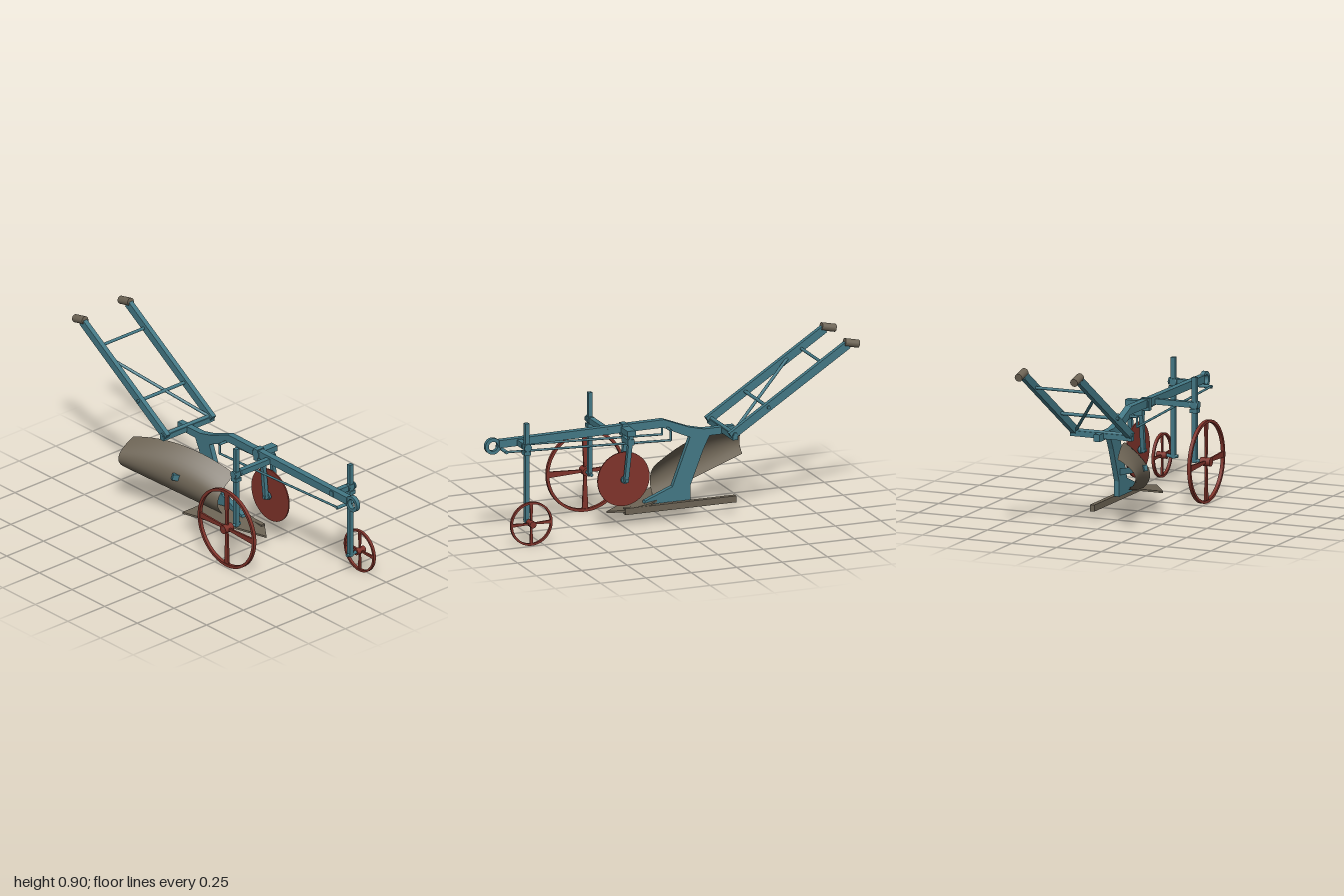
import * as THREE from 'three';

const V = (x, y, z) => new THREE.Vector3(x, y, z);

export function createModel() {
  const model = new THREE.Group();
  model.name = 'plough';
  const mat = (name, color, side = THREE.FrontSide) => {
    const m = new THREE.MeshStandardMaterial({ color, side });
    m.name = name;
    return m;
  };
  const teal = mat('teal paint', 0x437885);
  const red = mat('red paint', 0x80332a);
  const steel = mat('bare steel', 0x6d6455, THREE.DoubleSide);

  const add = (name, geo, material, x = 0, y = 0, z = 0, parent = model) => {
    const mesh = new THREE.Mesh(geo, material);
    mesh.name = name;
    mesh.position.set(x, y, z);
    parent.add(mesh);
    return mesh;
  };
  const box = (name, w, h, d, x, y, z, m = teal) => add(name, new THREE.BoxGeometry(w, h, d), m, x, y, z);
  // Rectangular bar between two points
  const bar = (name, a, b, w, h, m = teal) => {
    const mid = a.clone().add(b).multiplyScalar(0.5);
    const mesh = box(name, w, h, a.distanceTo(b), mid.x, mid.y, mid.z, m);
    mesh.lookAt(b);
    return mesh;
  };
  // Round rod between two points
  const rod = (name, a, b, r, m = teal, parent = model) => {
    const mid = a.clone().add(b).multiplyScalar(0.5);
    const mesh = add(name, new THREE.CylinderGeometry(r, r, a.distanceTo(b), 16), m, mid.x, mid.y, mid.z, parent);
    mesh.quaternion.setFromUnitVectors(V(0, 1, 0), b.clone().sub(a).normalize());
    return mesh;
  };
  // Side profile extruded across z, centred on z
  const plate = (name, pts, depth, z, m = teal) => {
    const shape = new THREE.Shape(pts.map(p => new THREE.Vector2(...p)));
    const geo = new THREE.ExtrudeGeometry(shape, { depth, bevelEnabled: false });
    return add(name, geo.translate(0, 0, -depth / 2), m, 0, 0, z);
  };
  const ring = (r, inner, depth) => {
    const shape = new THREE.Shape().absarc(0, 0, r, 0, Math.PI * 2);
    shape.holes.push(new THREE.Path().absarc(0, 0, inner, 0, Math.PI * 2, true));
    return new THREE.ExtrudeGeometry(shape, { depth, bevelEnabled: false, curveSegments: 40 })
      .translate(0, 0, -depth / 2);
  };

  // Beam and hitch ring
  const beamZ = -0.062;
  plate('beam', [[-0.37, 0.43], [-0.13, 0.43], [-0.09, 0.447], [0.025, 0.5], [0.925, 0.492], [0.925, 0.532],
    [0.02, 0.542], [-0.12, 0.487], [-0.2, 0.468], [-0.37, 0.468]], 0.034, beamZ);
  add('hitchRing', ring(0.043, 0.025, 0.022), teal, 0.957, 0.503, beamZ);

  // Handles with grips
  for (const z of [0.095, -0.215]) {
    bar('handle', V(-0.29, 0.457, z), V(-0.935, 0.872, z), 0.026, 0.042);
    rod('grip', V(-0.995, 0.868, z), V(-0.918, 0.885, z), 0.021, steel);
  }
  rod('upperHandleRod', V(-0.805, 0.782, 0.095), V(-0.805, 0.782, -0.215), 0.008);
  rod('lowerHandleRod', V(-0.495, 0.59, 0.118), V(-0.495, 0.59, -0.236), 0.009);
  box('handleFootBar', 0.028, 0.028, 0.345, -0.31, 0.452, -0.06);
  rod('handleFootBolt', V(-0.31, 0.468, 0.115), V(-0.31, 0.468, -0.236), 0.01);
  rod('handleDiagonal', V(-0.73, 0.738, 0.09), V(-0.3, 0.465, -0.21), 0.008);

  // Standard and landside
  plate('standard', [[-0.24, 0.44], [-0.2, 0.36], [-0.13, 0.18], [-0.13, 0.1], [0.13, 0.1], [0.12, 0.12],
    [-0.03, 0.18], [-0.13, 0.44]], 0.028, -0.06);
  box('landside', 0.61, 0.034, 0.025, -0.065, 0.083, -0.088, steel);

  // Share, a flat blade tilted down towards its tip
  const outline = [[-0.08, 0.178], [0.32, -0.04], [0.24, -0.098], [0.1, -0.098], [-0.08, 0]];
  const shareGeo = new THREE.ExtrudeGeometry(
    new THREE.Shape(outline.map(p => new THREE.Vector2(...p))), { depth: 0.01, bevelEnabled: false });
  shareGeo.rotateX(Math.PI / 2);
  const sp = shareGeo.attributes.position;
  for (let i = 0; i < sp.count; i++) sp.setY(i, sp.getY(i) + 0.139 - (sp.getX(i) + 0.08) * 0.15);
  shareGeo.computeVertexNormals();
  add('share', shareGeo, steel);

  // Mouldboard, a curved section swept backwards and outwards
  const boardGeo = new THREE.PlaneGeometry(1, 1, 16, 14);
  const bp = boardGeo.attributes.position;
  for (let i = 0; i < bp.count; i++) {
    const u = 0.5 - bp.getX(i), v = bp.getY(i) + 0.5;
    const low = 0.108 + 0.122 * u;
    const high = 0.318 + 0.285 * u - 0.22 * u * u;
    const curve = 0.247 * v - 0.317 * v * v;
    bp.setXYZ(i, 0.045 - 0.565 * u, low + (high - low) * v, curve * (1 - 0.15 * u) + 0.182 * u);
  }
  boardGeo.computeVertexNormals();
  add('mouldboard', boardGeo, steel);
  bar('mouldboardBrace', V(-0.1, 0.222, -0.06), V(-0.203, 0.28, 0.137), 0.022, 0.032);

  // Wheels: rim, hub and flared spokes
  const wheel = (name, x, y, z, r, t, width) => {
    const g = new THREE.Group();
    g.name = name;
    g.position.set(x, y, z);
    model.add(g);
    add('rim', ring(r, r - t, width), red, 0, 0, 0, g);
    const hub = r * 0.05 + 0.012;
    rod('hub', V(0, 0, -0.028), V(0, 0, 0.028), hub, red, g);
    const w = r * 0.075, n = r * 0.03;
    const shape = new THREE.Shape([[n, 0], [w, r - t], [-w, r - t], [-n, 0]].map(p => new THREE.Vector2(...p)));
    const geo = new THREE.ExtrudeGeometry(shape, { depth: 0.01, bevelEnabled: false }).translate(0, 0, -0.005);
    for (let i = 0; i < 4; i++) add('spoke', geo, red, 0, 0, 0, g).rotation.z = i * Math.PI / 2;
  };
  wheel('furrowWheel', 0.325, 0.221, 0.234, 0.215, 0.015, 0.018);
  wheel('landWheel', 0.815, 0.122, -0.235, 0.115, 0.011, 0.015);

  // Wheel posts, axles and crossbars
  const support = (x, axleY, topY, postZ, axleA, axleB, barA, barB) => {
    box('wheelPost', 0.022, topY - axleY + 0.01, 0.024, x, (topY + axleY - 0.01) / 2, postZ);
    rod('axle', V(x, axleY, axleA), V(x, axleY, axleB), 0.009);
    box('wheelCrossbar', 0.028, 0.03, Math.abs(barA - barB), x, 0.511, (barA + barB) / 2);
    box('postCollar', 0.036, 0.02, 0.04, x, 0.48, postZ);
    for (const d of [-0.02, 0.02]) {
      rod('collarWasher', V(x, 0.511, postZ + d - 0.004), V(x, 0.511, postZ + d + 0.004), 0.02);
    }
  };
  support(0.325, 0.221, 0.655, 0.17, 0.145, 0.262, 0.185, -0.08);
  support(0.815, 0.122, 0.637, -0.171, -0.147, -0.262, -0.04, -0.19);

  // Disc coulter with its fork and clamp
  rod('coulterDisc', V(0.26, 0.266, -0.124), V(0.26, 0.266, -0.116), 0.143, red)
    .geometry = new THREE.CylinderGeometry(0.143, 0.143, 0.007, 48);
  rod('coulterAxle', V(0.26, 0.266, -0.072), V(0.26, 0.266, -0.168), 0.009);
  for (const z of [-0.102, -0.138]) {
    rod('coulterWasher', V(0.26, 0.266, z - 0.006), V(0.26, 0.266, z + 0.006), 0.02);
  }
  bar('coulterArm', V(0.235, 0.48, -0.088), V(0.26, 0.255, -0.088), 0.022, 0.022);
  bar('coulterArm', V(0.233, 0.5, -0.152), V(0.26, 0.255, -0.152), 0.022, 0.022);
  box('coulterCrossbar', 0.035, 0.03, 0.09, 0.235, 0.467, -0.12);
  box('coulterBracket', 0.045, 0.03, 0.13, 0.235, 0.515, -0.105);
  box('beamClamp', 0.03, 0.065, 0.046, 0.235, 0.512, beamZ);

  // Draught rods under the beam
  for (const z of [-0.12, -0.005]) {
    rod('draughtRod', V(0, 0.442, z), V(0.905, 0.48, z), 0.006);
    rod('rodHanger', V(0, 0.44, z), V(0, 0.5, z), 0.006);
  }
  rod('rearRodPin', V(0, 0.495, -0.126), V(0, 0.495, 0.001), 0.007);
  rod('frontRodPin', V(0.905, 0.48, -0.128), V(0.905, 0.48, 0.003), 0.009);

  return model;
}
